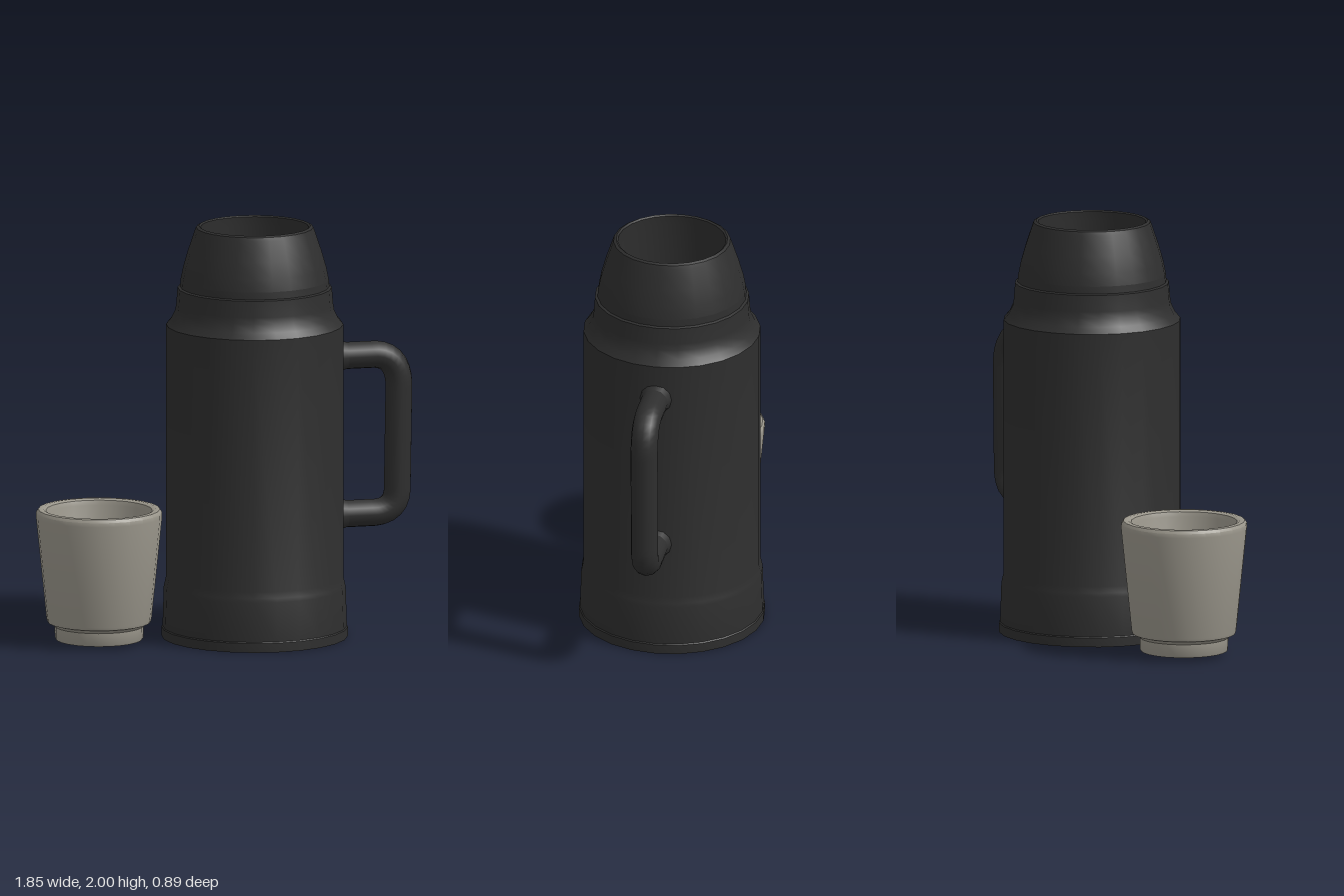
import * as THREE from 'three';
import { toCreasedNormals } from 'three/addons/utils/BufferGeometryUtils.js';

const dark = new THREE.MeshStandardMaterial({ color: 0x2e2e2e });
dark.name = 'charcoal';
const grey = new THREE.MeshStandardMaterial({ color: 0x9a968b });
grey.name = 'warmGrey';

// Turned part from a [radius, height] profile, smooth around and creased at steps
function turned(name, profile, material, x) {
  const points = profile.map(([r, y]) => new THREE.Vector2(r, y));
  const geometry = toCreasedNormals(new THREE.LatheGeometry(points, 24), 0.6);
  const mesh = new THREE.Mesh(geometry, material);
  mesh.name = name;
  mesh.position.x = x;
  return mesh;
}

export function createModel() {
  const model = new THREE.Group();
  model.name = 'flaskAndCup';
  const flaskX = 0.145, cupX = -0.625;

  // Flask body with foot rim, base band and shoulder
  model.add(turned('flaskBody', [
    [0, 0], [0.447, 0], [0.447, 0.045], [0.442, 0.05], [0.436, 0.24],
    [0.432, 0.26], [0.425, 0.29], [0.425, 1.52], [0.4, 1.55],
    [0.381, 1.59], [0.376, 1.62], [0.37, 1.7], [0.358, 1.705], [0.355, 1.74], [0.3, 1.74],
  ], dark, flaskX));

  // Tapered open collar, outside up and inside down
  model.add(turned('collar', [
    [0.3, 1.735], [0.355, 1.74], [0.343, 1.8], [0.32, 1.88], [0.288, 1.975],
    [0.281, 1.993], [0.268, 2], [0.259, 1.994], [0.262, 1.95], [0.27, 1.62],
  ], dark, flaskX));

  // Grey liner floor inside the mouth
  model.add(turned('linerFloor', [[0.275, 1.65], [0.2, 1.645], [0, 1.635]], grey, flaskX));

  // Side handle
  const path = new THREE.CurvePath();
  const v = (x, y) => new THREE.Vector3(x, y, 0);
  path.add(new THREE.LineCurve3(v(0.52, 1.345), v(0.74, 1.345)));
  path.add(new THREE.QuadraticBezierCurve3(v(0.74, 1.345), v(0.857, 1.335), v(0.858, 1.19)));
  path.add(new THREE.LineCurve3(v(0.858, 1.19), v(0.85, 0.68)));
  path.add(new THREE.QuadraticBezierCurve3(v(0.85, 0.68), v(0.845, 0.58), v(0.74, 0.573)));
  path.add(new THREE.LineCurve3(v(0.74, 0.573), v(0.52, 0.573)));
  const handle = new THREE.Mesh(new THREE.TubeGeometry(path, 48, 0.066, 12), dark);
  handle.name = 'handle';
  model.add(handle);

  // Small flares where the handle meets the body
  for (const y of [1.345, 0.573]) {
    const flare = new THREE.Mesh(new THREE.CylinderGeometry(0.066, 0.078, 0.04, 12, 1, true), dark);
    flare.name = 'handleFlare';
    flare.rotation.z = -Math.PI / 2;
    flare.position.set(0.578, y, 0);
    model.add(flare);
  }

  // Cup with stepped foot, rounded rim and hollow inside
  model.add(turned('cup', [
    [0, 0.02], [0.207, 0.02], [0.212, 0.028], [0.213, 0.085], [0.225, 0.098],
    [0.247, 0.105], [0.252, 0.12], [0.303, 0.62], [0.302, 0.64], [0.292, 0.654],
    [0.27, 0.656], [0.255, 0.648], [0.247, 0.625], [0.215, 0.15],
    [0.2, 0.125], [0, 0.12],
  ], grey, cupX));

  return model;
}
